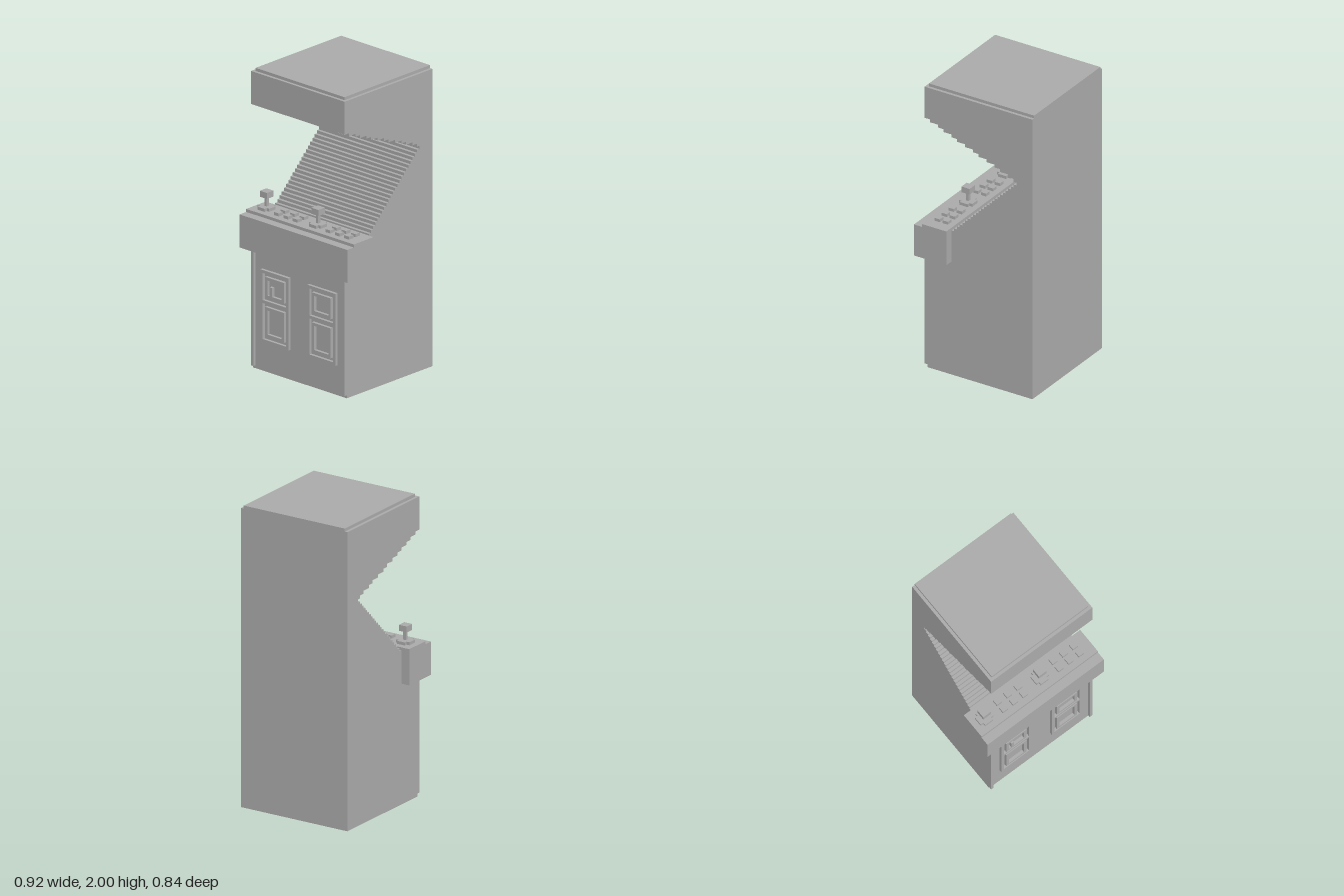
import * as THREE from 'three';

const U = 0.02; // block size the whole cabinet is stepped in

export function createModel() {
  const grey = new THREE.MeshStandardMaterial({ color: 0xaaaaaa });
  grey.name = 'cabinetGrey';
  const root = new THREE.Group();
  root.name = 'arcadeCabinet';

  const group = (name, parent = root) => {
    const g = new THREE.Group();
    g.name = name;
    parent.add(g);
    return g;
  };
  // Box given by its lower and upper limits on each axis
  const box = (name, parent, x0, x1, y0, y1, z0, z1) => {
    const m = new THREE.Mesh(new THREE.BoxGeometry(x1 - x0, y1 - y0, z1 - z0), grey);
    m.name = name;
    m.position.set((x0 + x1) / 2, (y0 + y1) / 2, (z0 + z1) / 2);
    parent.add(m);
    return m;
  };

  // Body: stepped side profile (z, y), extruded across the width
  const pts = [[-0.42, 0], [0.36, 0], [0.36, 0.8], [0.18, 0.8], [0.18, 1.02]];
  for (let k = 0; k < 24; k++) { // sloping screen
    const z = 0.16 - U * k, y = 1.02 + U * k;
    pts.push([z, y], [z, y + U]);
  }
  for (let j = 0; j < 13; j++) { // underside of the hood
    const z = Math.round((0.34 - (12 - j) * 0.0523) / U) * U, y = 1.5 + U * j;
    pts.push([z, y], [z, y + U]);
  }
  pts.push([0.38, 1.76], [0.38, 1.98], [-0.42, 1.98]);
  const shape = new THREE.Shape(pts.map(([z, y]) => new THREE.Vector2(z, y)));
  const body = new THREE.Mesh(
    new THREE.ExtrudeGeometry(shape, { depth: 0.8, bevelEnabled: false }).translate(0, 0, -0.4),
    grey
  );
  body.rotation.y = -Math.PI / 2;
  body.name = 'body';
  root.add(body);

  box('topCap', root, -0.38, 0.38, 1.98, 2, -0.42, 0.36);

  // Raised trim on the two lower front edges
  for (const s of [-1, 1]) {
    box('frontTrim', root, s * 0.39 - 0.01, s * 0.39 + 0.01, 0.02, 0.78, 0.36, 0.38);
  }

  // Control panel
  const panel = group('controlPanel');
  box('panelBox', panel, -0.46, 0.46, 0.8, 1.02, 0.18, 0.42);
  box('panelTop', panel, -0.46, 0.46, 1.02, 1.04, 0.18, 0.36);

  // Two players: a joystick and six buttons each
  for (const x of [-0.37, 0.07]) {
    const stick = group('joystick', panel);
    box('joystickBase', stick, x - 0.05, x + 0.05, 1.04, 1.06, 0.24, 0.30);
    box('joystickBaseFront', stick, x - 0.03, x + 0.03, 1.04, 1.06, 0.30, 0.32);
    box('joystickBaseBack', stick, x - 0.03, x + 0.03, 1.04, 1.06, 0.22, 0.24);
    box('joystickShaft', stick, x - 0.01, x + 0.01, 1.06, 1.12, 0.26, 0.28);
    box('joystickKnob', stick, x - 0.03, x + 0.03, 1.12, 1.16, 0.24, 0.30);
    for (let c = 0; c < 3; c++) {
      for (const z of [0.24, 0.30]) {
        const bx = x + 0.13 + 0.08 * c;
        box('button', panel, bx - 0.02, bx + 0.02, 1.04, 1.06, z - 0.02, z + 0.02);
      }
    }
  }

  // Raised frame with rectangular openings, set on the front panel
  const rect = (P, x0, x1, y0, y1) => {
    const p = new P();
    p.moveTo(x0, y0).lineTo(x1, y0).lineTo(x1, y1).lineTo(x0, y1).closePath();
    return p;
  };
  const frame = (name, parent, outer, holes) => {
    const s = rect(THREE.Shape, ...outer);
    holes.forEach((h) => s.holes.push(rect(THREE.Path, ...h)));
    const m = new THREE.Mesh(new THREE.ExtrudeGeometry(s, { depth: U, bevelEnabled: false }), grey);
    m.name = name;
    m.position.z = 0.36;
    parent.add(m);
  };

  // Coin doors
  for (const x of [-0.2, 0.2]) {
    const door = group('coinDoor');
    frame('doorFrame', door, [x - 0.12, x + 0.12, 0.2, 0.68], [
      [x - 0.1, x + 0.1, 0.22, 0.46],
      [x - 0.1, x + 0.1, 0.48, 0.66],
    ]);
    for (const [y0, y1] of [[0.24, 0.44], [0.5, 0.64]]) {
      frame('innerFrame', door, [x - 0.08, x + 0.08, y0, y1],
        [[x - 0.06, x + 0.06, y0 + U, y1 - U]]);
    }
    if (x < 0) box('coinSlot', door, -0.24, -0.22, 0.52, 0.58, 0.36, 0.38);
  }

  return root;
}
